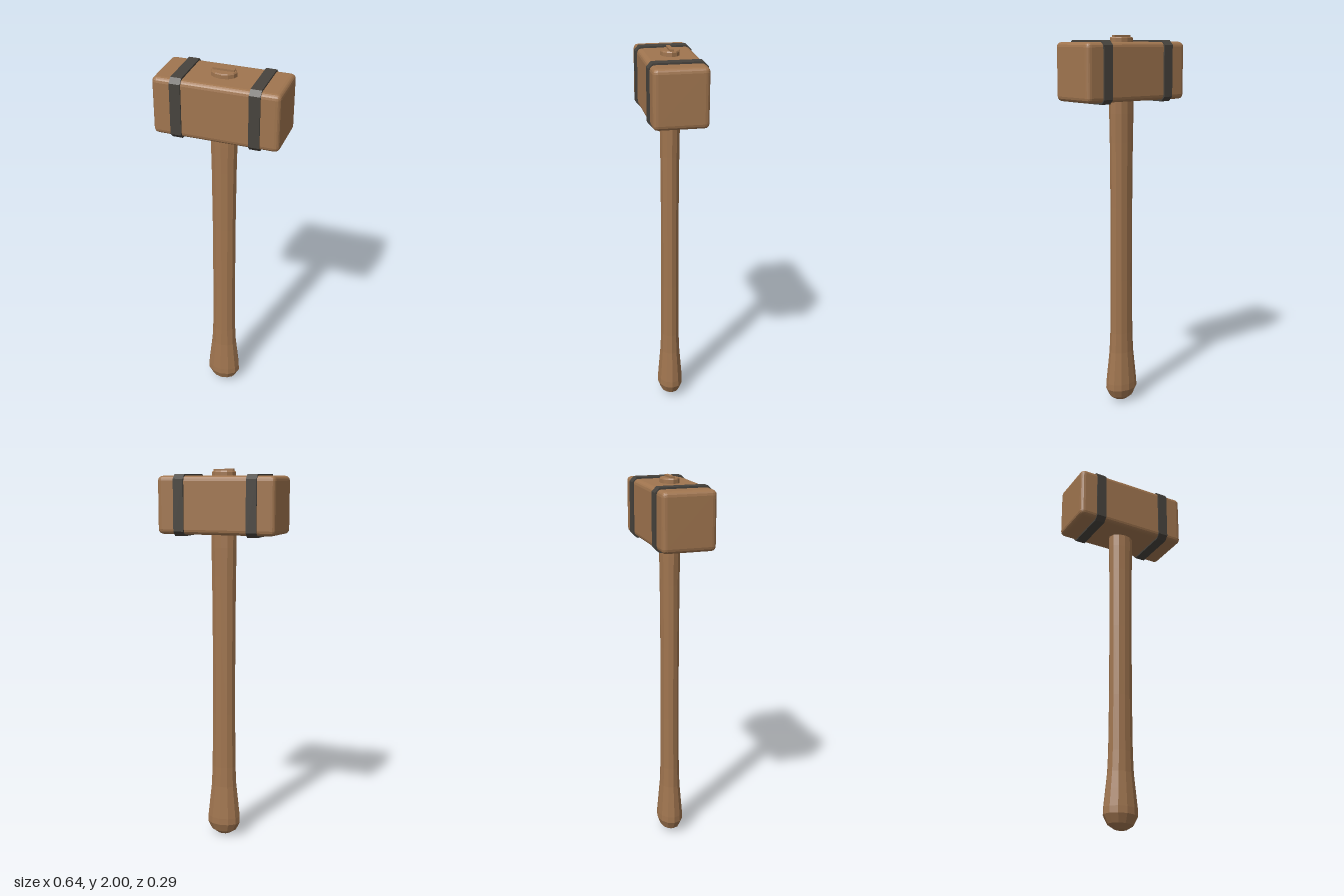
import * as THREE from 'three';
import { RoundedBoxGeometry } from 'three/addons/geometries/RoundedBoxGeometry.js';

export function createModel() {
  const wood = new THREE.MeshStandardMaterial({ color: 0xa0754f, flatShading: true });
  wood.name = 'wood';
  const iron = new THREE.MeshStandardMaterial({ color: 0x47433d, flatShading: true });
  iron.name = 'dark iron';

  const model = new THREE.Group();
  model.name = 'mallet';
  const add = (name, geometry, material, x, y, z) => {
    const mesh = new THREE.Mesh(geometry, material);
    mesh.name = name;
    mesh.position.set(x, y, z);
    model.add(mesh);
    return mesh;
  };

  // Oval handle with a swollen grip end, running through the head
  const profile = [
    [0, 0], [0.035, 0.008], [0.07, 0.03], [0.093, 0.075], [0.092, 0.11],
    [0.082, 0.2], [0.072, 0.29], [0.067, 0.4], [0.064, 0.7], [0.064, 1.1],
    [0.067, 1.45], [0.07, 1.6], [0.07, 1.7], [0.066, 1.9], [0.065, 1.984],
    [0.061, 1.99], [0, 1.99],
  ].map(([r, y]) => new THREE.Vector2(r, y));
  const handle = add('handle', new THREE.LatheGeometry(profile, 12), wood, 0, 0, 0);
  handle.scale.z = 0.75;

  // Wedge set into the top end of the handle
  add('wedge', new THREE.BoxGeometry(0.108, 0.04, 0.02), wood, 0, 1.98, 0);

  // Block head with softened edges
  add('head', new RoundedBoxGeometry(0.638, 0.296, 0.276, 2, 0.025), wood, 0, 1.817, 0);

  // Two bands with cut corners wrapped around the head
  const w = 0.146, h = 0.157, c = 0.024;
  const outline = new THREE.Shape([
    [w, -h + c], [w, h - c], [w - c, h], [-w + c, h],
    [-w, h - c], [-w, -h + c], [-w + c, -h], [w - c, -h],
  ].map(([x, y]) => new THREE.Vector2(x, y)));
  const bandGeometry = new THREE.ExtrudeGeometry(outline, { depth: 0.055, bevelEnabled: false });
  bandGeometry.translate(0, 0, -0.0275).rotateY(Math.PI / 2);
  for (const side of [-1, 1]) {
    add(side > 0 ? 'leftBand' : 'rightBand', bandGeometry, iron, side * 0.197, 1.817, 0);
  }

  return model;
}
